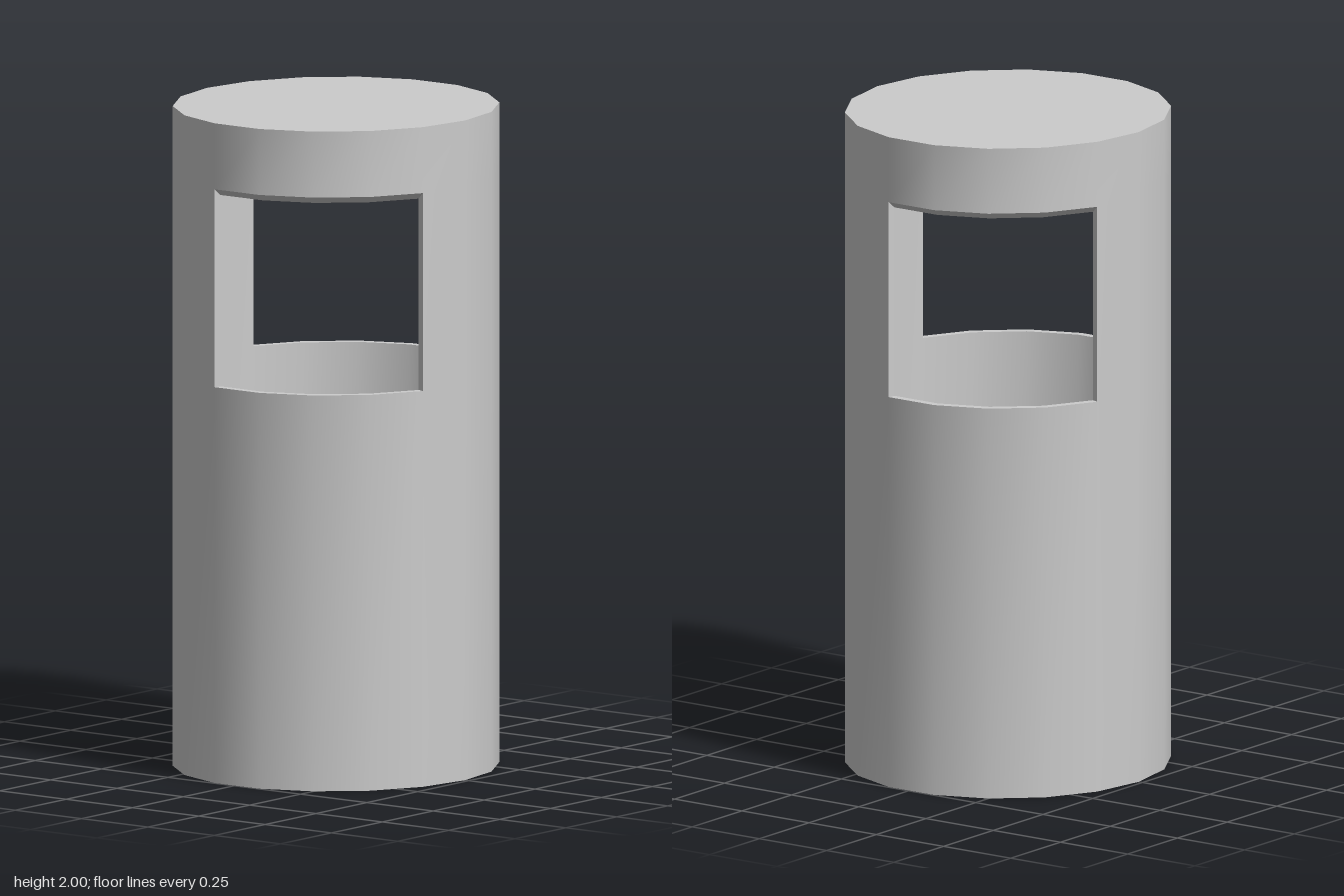
import * as THREE from 'three';
import { toCreasedNormals } from 'three/addons/utils/BufferGeometryUtils.js';

const SIDES = 18, HEIGHT = 2, WALL = 0.02, INNER = 0.952;
const SILL = 1.2, LINTEL = 1.8, LINTEL_IN = 1.78;
const WINDOWS = [[1, 5], [10, 14]]; // first and last corner of each opening

// corner i of the slightly oval, 18-sided ring
function corner(i, y, scale = 1) {
  const a = (i % SIDES) / SIDES * Math.PI * 2;
  const z = 0.504 * Math.sin(a);
  return [(0.486 * Math.cos(a) + 0.016 * z) * scale, y, z * scale];
}

// collects polygons as triangle fans
function createSurface() {
  const positions = [];
  return {
    face(points, flip = false) {
      const p = flip ? [...points].reverse() : points;
      for (let k = 1; k < p.length - 1; k++) positions.push(...p[0], ...p[k], ...p[k + 1]);
    },
    build(name) {
      const geometry = new THREE.BufferGeometry();
      geometry.setAttribute('position', new THREE.Float32BufferAttribute(positions, 3));
      geometry.computeVertexNormals();
      const mesh = new THREE.Mesh(toCreasedNormals(geometry, 0.5),
        new THREE.MeshStandardMaterial({ color: 0xcccccc }));
      mesh.name = name;
      return mesh;
    },
  };
}

// one flat strip of wall between corners i and i + 1
function wallQuad(i, y0, y1, scale) {
  return [corner(i + 1, y0, scale), corner(i, y0, scale), corner(i, y1, scale), corner(i + 1, y1, scale)];
}

function createWall() {
  const s = createSurface();
  for (let i = 0; i < SIDES; i++) {
    const open = WINDOWS.some(([a, b]) => i >= a && i < b);
    const outer = [0, SILL, LINTEL, HEIGHT];
    const inner = [WALL, SILL, LINTEL_IN, HEIGHT - WALL];
    for (let k = 0; k < 3; k++) {
      if (open && k === 1) continue;
      s.face(wallQuad(i, outer[k], outer[k + 1], 1));
      s.face(wallQuad(i, inner[k], inner[k + 1], INNER), true);
    }
    if (open) { // sill and sloping lintel
      s.face([corner(i + 1, SILL), corner(i, SILL), corner(i, SILL, INNER), corner(i + 1, SILL, INNER)]);
      s.face([corner(i + 1, LINTEL), corner(i, LINTEL),
        corner(i, LINTEL_IN, INNER), corner(i + 1, LINTEL_IN, INNER)], true);
    }
  }
  // upright jambs at both ends of each opening
  for (const ends of WINDOWS) {
    ends.forEach((i, end) => s.face([corner(i, SILL, INNER), corner(i, SILL),
      corner(i, LINTEL), corner(i, LINTEL_IN, INNER)], end === 1));
  }
  return s.build('hollowWall');
}

// a closing disc with an outer and an inner face
function createCap(name, yUp, upScale, yDown, downScale) {
  const s = createSurface();
  for (let i = 0; i < SIDES; i++) {
    s.face([[0, yUp, 0], corner(i + 1, yUp, upScale), corner(i, yUp, upScale)]);
    s.face([[0, yDown, 0], corner(i, yDown, downScale), corner(i + 1, yDown, downScale)]);
  }
  return s.build(name);
}

// small flush panel beside the front opening, a hair proud on both sides
function createPanel() {
  const s = createSurface();
  s.face(wallQuad(5, 1.4, 1.6, 1.002));
  s.face(wallQuad(5, 1.4, 1.6, INNER - 0.002), true);
  return s.build('sidePanel');
}

export function createModel() {
  const group = new THREE.Group();
  group.name = 'hollowColumn';
  group.add(
    createWall(),
    createCap('topCap', HEIGHT, 1, HEIGHT - WALL, INNER),
    createCap('base', WALL, INNER, 0, 1),
    createPanel(),
  );
  return group;
}
